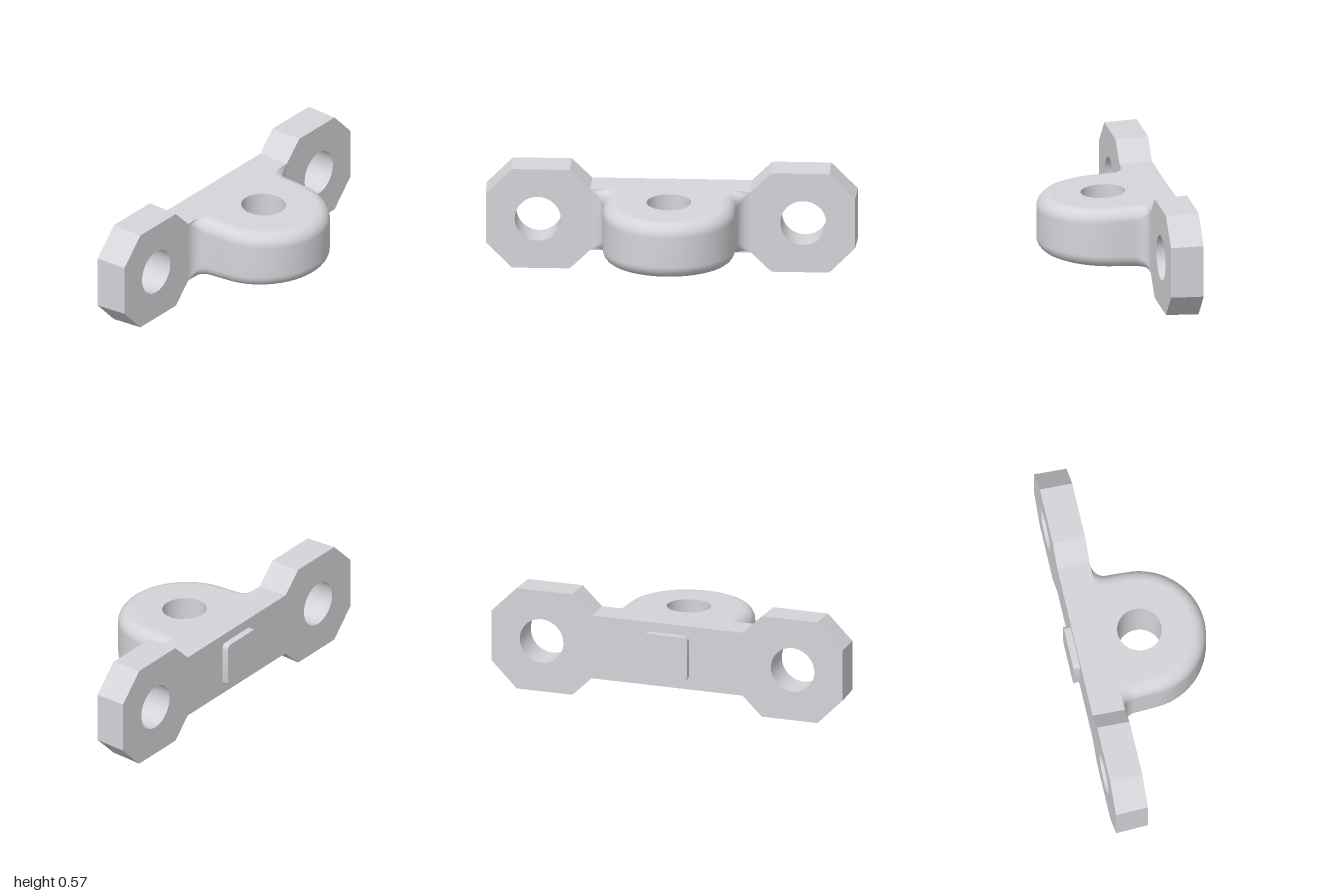
import * as THREE from 'three';
import { toCreasedNormals } from 'three/addons/utils/BufferGeometryUtils.js';

const MID = 0.286; // height of the horizontal symmetry plane
const BACK = -0.338, FACE = -0.16; // back and front of the plate
const DRAFT = 0.037; // slope of the drafted faces
const halfHeight = z => 0.1725 - DRAFT * (z - FACE);

// Smooth surface over a grid; faces point along (i direction) x (k direction)
function gridSurface(nI, nK, point) {
  const pos = [], index = [];
  for (let i = 0; i <= nI; i++)
    for (let k = 0; k <= nK; k++) {
      pos.push(...point(i, k));
      if (i < nI && k < nK) {
        const a = i * (nK + 1) + k, b = a + nK + 1;
        index.push(a, b, b + 1, a, b + 1, a + 1);
      }
    }
  const g = new THREE.BufferGeometry();
  g.setAttribute('position', new THREE.Float32BufferAttribute(pos, 3));
  g.setIndex(index);
  g.computeVertexNormals();
  return g;
}

// Plate with two octagonal ears, bolt holes and slightly drafted edges
function plateGeometry() {
  const neck = halfHeight(BACK);
  const quarter = [[0.43, neck], [0.54, MID], [0.857, MID], [1, 0.142]];
  const flipped = [...quarter].reverse();
  // Clockwise outline, so the holes run anticlockwise
  const outline = [
    ...quarter,
    ...flipped.map(([x, y]) => [x, -y]),
    ...quarter.map(([x, y]) => [-x, -y]),
    ...flipped.map(([x, y]) => [-x, y]),
  ];
  const shape = new THREE.Shape(outline.map(p => new THREE.Vector2(...p)));
  for (const s of [-1, 1]) shape.holes.push(new THREE.Path().absarc(s * 0.715, 0, 0.124, 0, Math.PI * 2, false));
  const depth = FACE - BACK, d = DRAFT * depth;
  const g = new THREE.ExtrudeGeometry(shape, { depth, bevelEnabled: false, curveSegments: 24 });
  const p = g.attributes.position;
  for (let i = 0; i < p.count; i++) {
    const x = p.getX(i), y = p.getY(i), ax = Math.abs(x);
    if (p.getZ(i) < depth / 2 || Math.hypot(ax - 0.715, y) < 0.13) continue;
    const dx = ax > 0.95 ? -d : ax > 0.8 ? -0.41 * d : 0.41 * d;
    const dy = ax > 0.95 ? 0.41 * d : d;
    p.setXY(i, x + Math.sign(x) * dx, y - Math.sign(y) * dy);
  }
  g.translate(0, MID, BACK);
  return toCreasedNormals(g, 0.5);
}

// Lug outline seen from above: position, outward normal and edge radius
function lugOutline() {
  const EDGE = 0.07, F = 0.07, N = 8, ARC = 40;
  const fillet = s => {
    const list = [];
    for (let i = 0; i <= N; i++) {
      const t = -Math.PI / 2 * (1 - i / N), c = Math.cos(t), n = Math.sin(t);
      list.push({ x: s * (0.43 - F * c), z: FACE + F + F * n, nx: s * c, nz: -n, r: EDGE * Math.sin(Math.PI / 2 * i / N) });
    }
    return list;
  };
  const arc = [];
  for (let i = 0; i <= ARC; i++) {
    const t = Math.PI * (1 - i / ARC), c = Math.cos(t), n = Math.sin(t);
    arc.push({ x: 0.356 * c, z: 0.019 + 0.356 * n, nx: c, nz: n, r: EDGE });
  }
  return [...fillet(-1), ...arc, ...fillet(1).reverse()];
}

export function createModel() {
  const model = new THREE.Group();
  const metal = new THREE.MeshStandardMaterial({ color: 0xd4d5d9 });
  metal.name = 'light grey metal';
  const add = (name, geometry) => {
    const mesh = new THREE.Mesh(geometry, metal);
    mesh.name = name;
    model.add(mesh);
  };

  add('mountingPlate', plateGeometry());

  // Lug wall with rounded upper and lower edges
  const outline = lugOutline(), ROUND = 6;
  const inset = (p, amount) => [p.x - p.nx * amount, Math.max(FACE, p.z - p.nz * amount)];
  add('lugWall', gridSurface(outline.length - 1, 2 * ROUND + 1, (i, k) => {
    const p = outline[i], s = k <= ROUND ? -1 : 1;
    const a = Math.PI / 2 * (s < 0 ? ROUND - k : k - ROUND - 1) / ROUND;
    const [x, z] = inset(p, p.r * (1 - Math.cos(a)));
    return [x, MID + s * (halfHeight(z) - p.r * (1 - Math.sin(a))), z];
  }));

  // Sloping top and bottom faces, pierced by the pin hole
  const HOLE_Z = 0.017, HOLE_R = 0.12;
  for (const s of [1, -1]) {
    const shape = new THREE.Shape(outline.map(p => {
      const [x, z] = inset(p, p.r);
      return new THREE.Vector2(x, -s * z);
    }));
    shape.holes.push(new THREE.Path().absarc(0, -s * HOLE_Z, HOLE_R, 0, Math.PI * 2, true));
    const g = new THREE.ShapeGeometry(shape, 24);
    g.rotateX(-s * Math.PI / 2);
    const p = g.attributes.position;
    for (let i = 0; i < p.count; i++) p.setY(i, MID + s * halfHeight(p.getZ(i)));
    g.computeVertexNormals();
    add(s > 0 ? 'lugTop' : 'lugBottom', g);
  }

  // Inside of the pin hole
  add('pinHole', gridSurface(48, 1, (i, k) => {
    const t = Math.PI * 2 * i / 48, z = HOLE_Z + HOLE_R * Math.sin(t);
    return [HOLE_R * Math.cos(t), MID + (k ? 1 : -1) * halfHeight(z), z];
  }));

  // Locating pad on the back, with rounded corners
  const W = 0.125, R = 0.026, pad = new THREE.Shape();
  [[1, 1, 0], [-1, 1, 1], [-1, -1, 2], [1, -1, 3]].forEach(([sx, sy, q]) =>
    pad.absarc(sx * (W - R), sy * (W - R), R, q * Math.PI / 2, (q + 1) * Math.PI / 2));
  const padGeometry = new THREE.ExtrudeGeometry(pad, { depth: 0.045, bevelEnabled: false, curveSegments: 6 });
  padGeometry.translate(0, MID, -0.375);
  add('locatingPad', toCreasedNormals(padGeometry, 0.6));

  return model;
}
